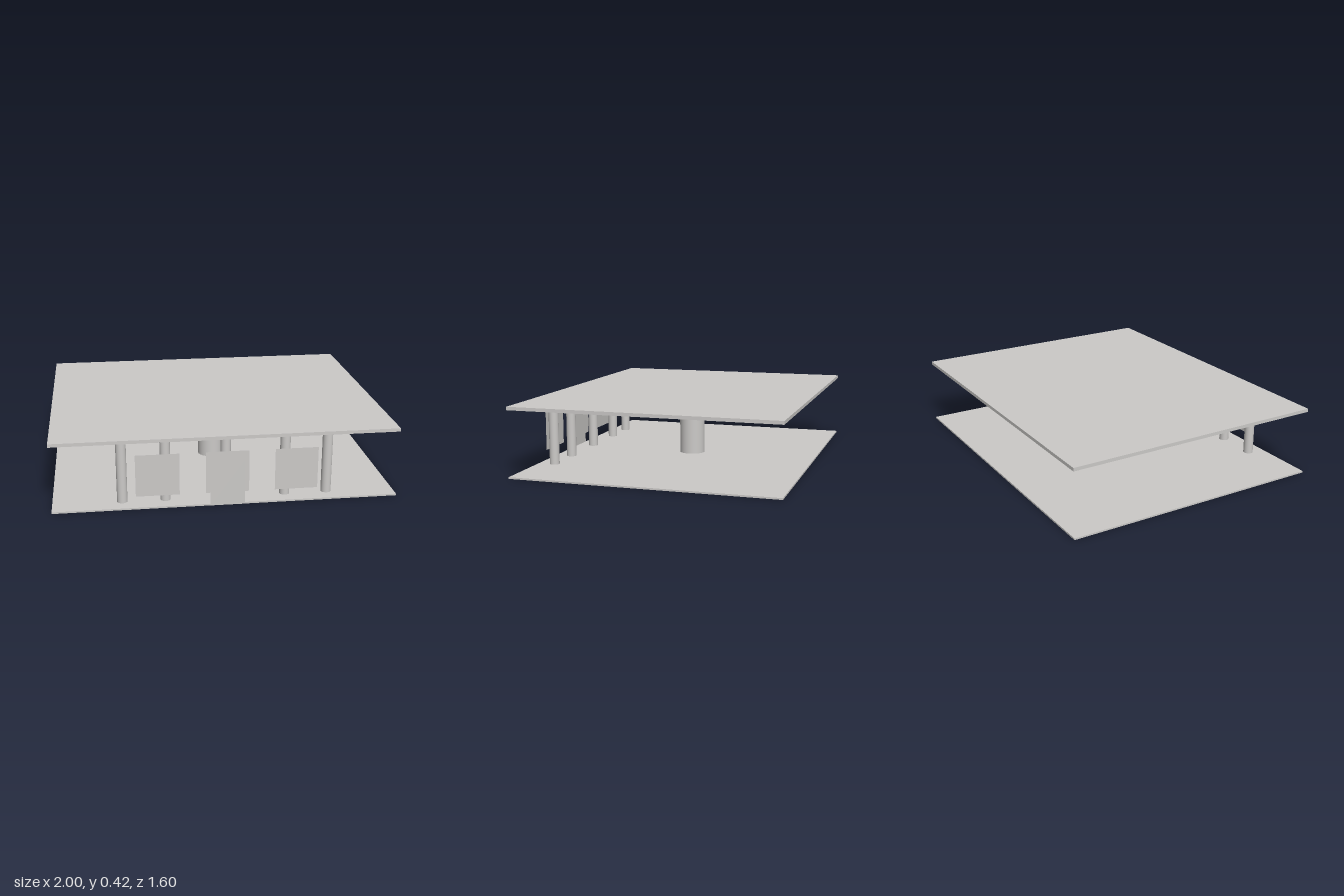
import * as THREE from 'three';

export function createModel() {
  const model = new THREE.Group();
  model.name = 'pavilion';

  const grey = new THREE.MeshStandardMaterial({ color: 0xcccac8, side: THREE.DoubleSide });
  grey.name = 'warm grey';

  const add = (name, geometry, x, y, z) => {
    const mesh = new THREE.Mesh(geometry, grey);
    mesh.name = name;
    mesh.position.set(x, y, z);
    model.add(mesh);
  };

  // Floor and roof slabs
  add('floor', new THREE.BoxGeometry(2, 0.01, 1.6), 0, 0.005, 0);
  add('roof', new THREE.BoxGeometry(2, 0.02, 1.6), 0, 0.41, 0);

  // Row of columns behind the front edge
  const column = new THREE.CylinderGeometry(0.03, 0.03, 0.39, 32);
  for (const x of [-0.6, -0.35, 0, 0.35, 0.6]) add('column', column, x, 0.205, 0.7);

  // Round pedestal in the middle of the floor
  add('pedestal', new THREE.CylinderGeometry(0.08, 0.08, 0.24, 32), 0, 0.13, 0);

  // Thin window panels and the door on the front
  const windowPanel = new THREE.PlaneGeometry(0.25, 0.25);
  for (const x of [-0.4, 0, 0.4]) add('window', windowPanel, x, 0.2, 0.79);
  add('door', new THREE.PlaneGeometry(0.2, 0.28), 0, 0.14, 0.801);

  return model;
}
